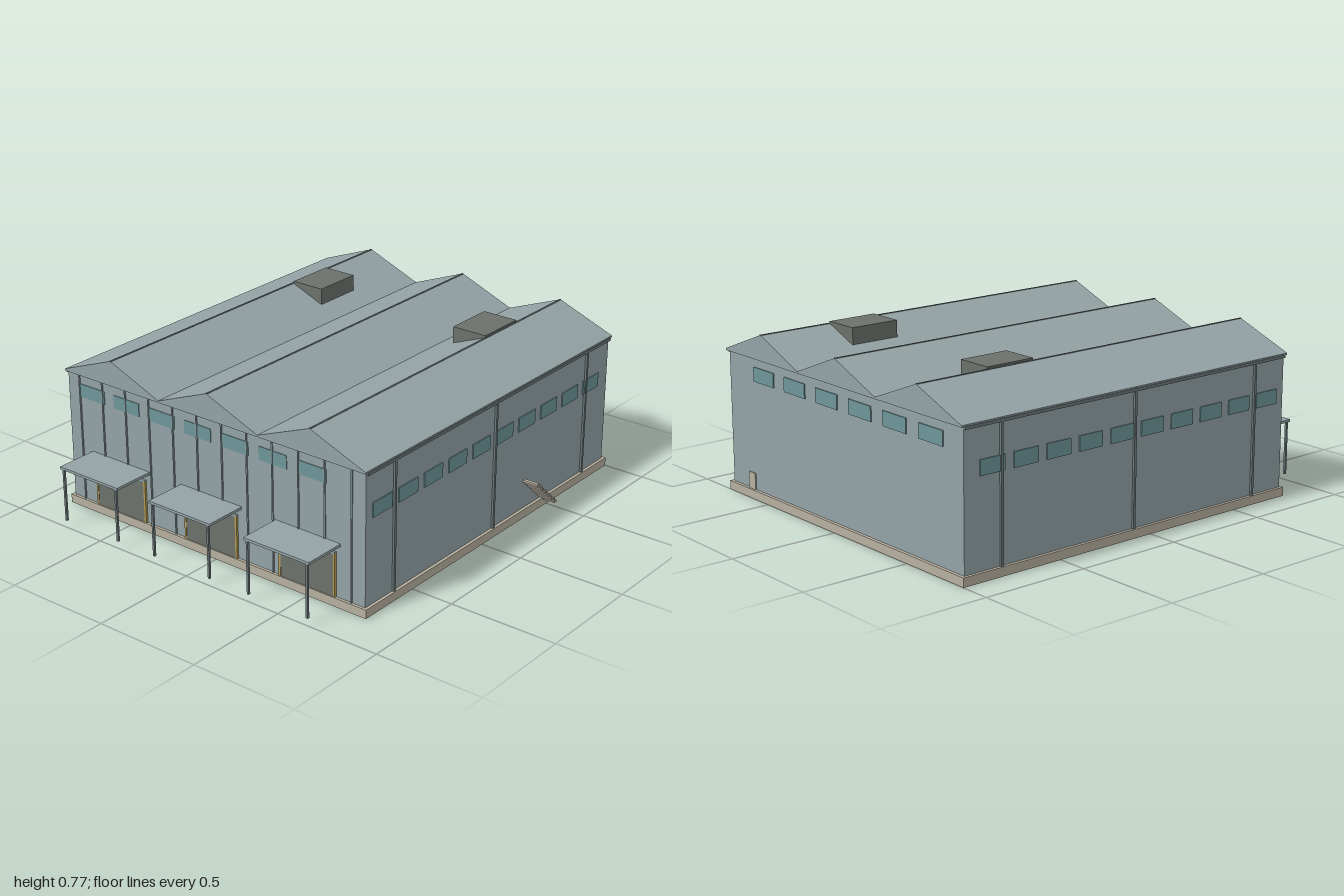
import * as THREE from 'three';

const mat = (color) => new THREE.MeshStandardMaterial({ color, flatShading: true });

export function createModel() {
  const root = new THREE.Group();
  const wall = mat(0x94a3a6), dark = mat(0x6b716b), glass = mat(0x6f9699);
  const concrete = mat(0xb7b0a0), steel = mat(0x6f7a7c), yellow = mat(0xb39b52);

  // Box given by its lower and upper limits on each axis
  function box(name, material, x0, x1, y0, y1, z0, z1, parent = root) {
    const mesh = new THREE.Mesh(new THREE.BoxGeometry(x1 - x0, y1 - y0, z1 - z0), material);
    mesh.position.set((x0 + x1) / 2, (y0 + y1) / 2, (z0 + z1) / 2);
    mesh.name = name;
    parent.add(mesh);
    return mesh;
  }
  function group(name) {
    const g = new THREE.Group();
    g.name = name;
    root.add(g);
    return g;
  }

  const cx = -0.03, halfW = 0.819, bay = 0.546;
  const front = 0.8, back = -0.985, eave = 0.645, ridge = 0.757, floor = 0.04;

  // Base slab and main hall
  box('foundation', concrete, cx - 0.833, cx + 0.833, 0, floor, -1, 0.813);
  box('hall', wall, cx - halfW, cx + halfW, floor, eave, back, front);

  // Three-bay gabled roof
  const roofShape = new THREE.Shape();
  roofShape.moveTo(cx - halfW - 0.008, eave - 0.004);
  for (let i = 0; i < 3; i++) {
    const x = cx + (i - 1) * bay;
    if (i > 0) roofShape.lineTo(x - bay / 2, eave + 0.004);
    else roofShape.lineTo(cx - halfW - 0.008, eave + 0.004);
    roofShape.lineTo(x, ridge);
  }
  roofShape.lineTo(cx + halfW + 0.008, eave + 0.004);
  roofShape.lineTo(cx + halfW + 0.008, eave - 0.004);
  const roof = new THREE.Mesh(
    new THREE.ExtrudeGeometry(roofShape, { depth: 1.813, bevelEnabled: false }), wall);
  roof.position.z = -1;
  roof.name = 'roof';
  root.add(roof);

  // Ridge caps
  for (let i = -1; i <= 1; i++) {
    const x = cx + i * bay;
    box('ridgeCap', steel, x - 0.004, x + 0.004, ridge - 0.006, ridge + 0.001, -1, 0.813);
  }

  // Roof vents
  box('roofVent', dark, -0.573, -0.405, 0.69, 0.766, -0.64, -0.4);
  box('roofVent', dark, 0.343, 0.515, 0.69, 0.766, -0.64, -0.4);

  // Gutters, columns and windows on both long sides
  for (const s of [-1, 1]) {
    const side = group(s > 0 ? 'leftSide' : 'rightSide');
    const strip = (name, m, depth, y0, y1, z0, z1) => {
      const a = cx + s * halfW, b = a + s * depth;
      box(name, m, Math.min(a, b), Math.max(a, b), y0, y1, z0, z1, side);
    };
    strip('gutter', steel, 0.012, 0.63, 0.643, back, front);
    for (const z of [0.617, -0.09, -0.8]) strip('column', steel, 0.01, floor, 0.645, z - 0.006, z + 0.006);
    for (let i = 0; i < 10; i++) {
      const z = 0.695 - i * 0.171;
      strip('sideWindow', glass, 0.005, 0.43, 0.496, z - 0.063, z + 0.063);
    }
  }

  // Front windows and wall ribs
  const frontWall = group('frontWall');
  for (let i = 0; i < 7; i++) {
    const x = -0.707 + i * 0.204;
    box('frontWindow', glass, x - 0.074, x + 0.074, 0.535, 0.596, front, front + 0.003, frontWall);
  }
  for (let i = 0; i < 12; i++) {
    const x = cx - halfW + (i + 0.5) * bay / 4;
    box('wallRib', wall, x - 0.003, x + 0.003, floor, 0.645, front, front + 0.006, frontWall);
  }

  // Loading bays: door, frame and canopy on two posts
  for (let i = -1; i <= 1; i++) {
    const x = cx + i * 0.523, dock = group('loadingBay');
    box('dockDoor', dark, x - 0.138, x + 0.138, floor, 0.236, front, front + 0.008, dock);
    box('doorLintel', wall, x - 0.148, x + 0.148, 0.236, 0.246, front, front + 0.01, dock);
    box('canopy', wall, x - 0.17, x + 0.17, 0.276, 0.288, front, 1, dock);
    for (const s of [-1, 1]) {
      const jx = x + s * 0.143, px = x + s * 0.155;
      box('doorJamb', yellow, jx - 0.005, jx + 0.005, floor, 0.238, front, front + 0.01, dock);
      box('canopyPost', steel, px - 0.005, px + 0.005, 0.03, 0.276, 0.987, 0.997, dock);
    }
  }

  // Back windows and service door
  const backWall = group('backWall');
  for (let i = 0; i < 6; i++) {
    const x = 0.52 - i * 0.234;
    box('backWindow', glass, x - 0.077, x + 0.077, 0.535, 0.6, back - 0.005, back, backWall);
  }
  box('serviceDoor', concrete, 0.61, 0.66, floor, 0.115, back - 0.006, back, backWall);

  // Open-tread side stair descending towards the back
  const stair = group('sideStair');
  for (let i = 0; i < 12; i++) {
    const y = 0.178 - i * 0.0125, z = -0.333 - i * 0.0135;
    box('stairTread', concrete, 0.789, 0.863, y - 0.01, y, z - 0.008, z + 0.008, stair);
  }
  return root;
}
